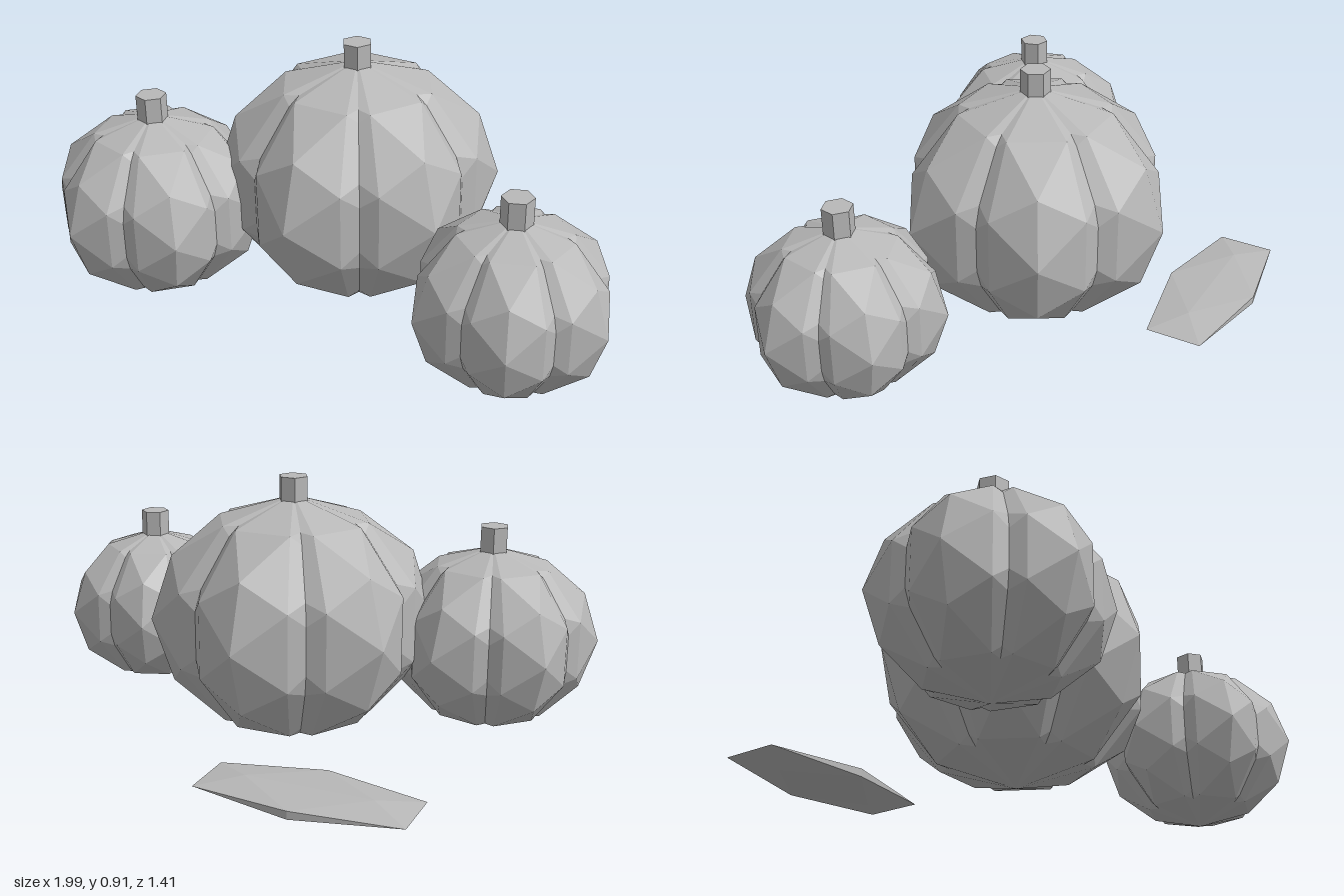
import * as THREE from 'three';

const grey = new THREE.MeshStandardMaterial({ color: 0xb8b8b8 });
grey.name = 'plainGrey';

// Adds a named mesh to a parent; faceted geometries are baked with flat normals
function add(parent, geometry, name) {
  const flat = geometry.index ? geometry.toNonIndexed() : geometry;
  flat.computeVertexNormals();
  const mesh = new THREE.Mesh(flat, grey);
  mesh.name = name;
  parent.add(mesh);
  return mesh;
}

// Pumpkin: three narrow faceted ellipsoids crossed at 60 degrees make six ribs
function pumpkin(name, [x, y, z], radius, halfHeight, turn, stemTop) {
  const group = new THREE.Group();
  group.name = name;
  group.position.set(x, y, z);
  group.rotation.y = turn;
  for (let i = 0; i < 3; i++) {
    const rib = new THREE.IcosahedronGeometry(1, 1);
    rib.scale(radius * 0.645, halfHeight, radius);
    rib.rotateY((i * Math.PI) / 3);
    add(group, rib, `ribPair${i + 1}`);
  }

  // Six-sided stem, sunk slightly into the top
  const bottom = halfHeight - 0.03;
  const height = stemTop - y - bottom;
  const stem = new THREE.CylinderGeometry(0.051, 0.051, height, 6);
  stem.rotateY(Math.PI / 6);
  stem.translate(0, bottom + height / 2, 0);
  add(group, stem, 'stem');
  return group;
}

export function createModel() {
  const model = new THREE.Group();
  model.name = 'pumpkinPatch';
  const deg = Math.PI / 180;

  model.add(
    pumpkin('largePumpkin', [-0.043, 0.425, 0.007], 0.483, 0.42, 0, 0.91),
    pumpkin('mediumPumpkin', [-0.642, 0.332, 0.345], 0.37, 0.322, -15 * deg, 0.725),
    pumpkin('smallPumpkin', [0.665, 0.3, 0.305], 0.335, 0.291, 20 * deg, 0.665)
  );

  // Flat faceted leaf behind the pumpkins
  const leaf = new THREE.IcosahedronGeometry(1, 0);
  leaf.scale(0.408, 0.026, 0.186);
  add(model, leaf, 'leaf').position.set(-0.344, 0.055, -0.553);

  return model;
}
